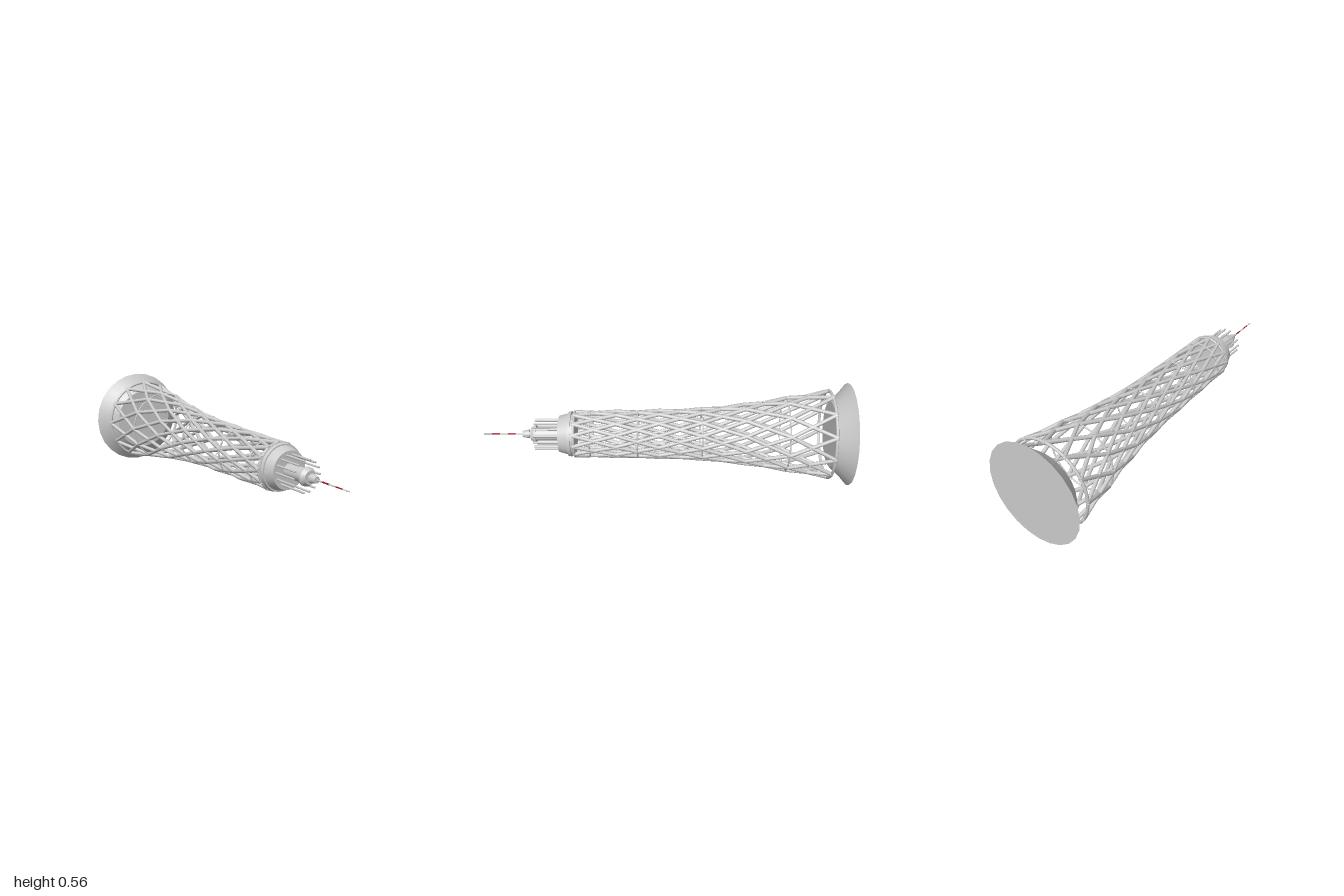
import * as THREE from 'three';
import { toCreasedNormals } from 'three/addons/utils/BufferGeometryUtils.js';

const grey = new THREE.MeshStandardMaterial({ color: 0xcccccc });
const red = new THREE.MeshStandardMaterial({ color: 0xb01020 });

// Radius of the waisted lattice along the tower axis
const waist = new THREE.CatmullRomCurve3([
  [0.24, -0.9], [0.2, -0.667], [0.163, -0.433], [0.138, -0.2],
  [0.129, 0.033], [0.124, 0.267], [0.122, 0.5],
].map(([r, y]) => new THREE.Vector3(r, y, 0)));

function radiusAt(y) {
  return waist.getPoint((y + 0.9) / 1.4).x;
}

export function createModel() {
  // The tower is built along y, then laid down so that its tip points to +z
  const tower = new THREE.Group();
  tower.name = 'latticeTower';

  function add(name, geometry, parent = tower, material = grey) {
    const mesh = new THREE.Mesh(geometry, material);
    mesh.name = name;
    parent.add(mesh);
    return mesh;
  }

  function turned(name, profile, sides) {
    const points = profile.map(([r, y]) => new THREE.Vector2(r, y));
    return add(name, toCreasedNormals(new THREE.LatheGeometry(points, sides), 0.4));
  }

  function rod(name, a, b, radius, sides, parent, material) {
    const mesh = add(name, new THREE.CylinderGeometry(radius, radius, a.distanceTo(b), sides), parent, material);
    mesh.position.copy(a).lerp(b, 0.5);
    mesh.quaternion.setFromUnitVectors(new THREE.Vector3(0, 1, 0), b.clone().sub(a).normalize());
    return mesh;
  }

  function onLattice(angle, y) {
    const r = radiusAt(y);
    return new THREE.Vector3(r * Math.sin(angle), y, r * Math.cos(angle));
  }

  // Flared base
  turned('base', [[0, -1], [0.282, -1], [0.243, -0.968], [0.182, -0.905], [0, -0.905]], 24);

  // Two opposed families of twelve twisting struts, kinked at each level
  const lattice = new THREE.Group();
  lattice.name = 'lattice';
  tower.add(lattice);
  const levels = 6, count = 12, step = Math.PI / 6;
  for (const dir of [-1, 1]) {
    for (let i = 0; i < count; i++) {
      for (let k = 0; k < levels; k++) {
        const a = onLattice(i * step + dir * k * step, -0.9 + 1.4 * k / levels);
        const b = onLattice(i * step + dir * (k + 1) * step, -0.9 + 1.4 * (k + 1) / levels);
        rod('strut', a, b, 0.0105, 8, lattice);
      }
    }
  }

  // Horizontal hoops
  for (const [y, tube] of [[-0.895, 0.008], [-0.66, 0.004], [-0.2, 0.004], [0.15, 0.004], [0.41, 0.004], [0.495, 0.007]]) {
    const hoop = add('hoop', new THREE.TorusGeometry(radiusAt(y), tube, 8, 36), lattice);
    hoop.rotation.x = Math.PI / 2;
    hoop.position.y = y;
  }

  // Crown cap with a narrow groove and bevelled shoulder
  turned('crown', [
    [0, 0.495], [0.122, 0.495], [0.122, 0.505], [0.112, 0.505], [0.112, 0.513],
    [0.125, 0.513], [0.122, 0.53], [0.115, 0.53], [0.1, 0.582], [0, 0.582],
  ], 32);

  // Ring of slim posts on the crown
  const posts = new THREE.Group();
  posts.name = 'crownPosts';
  tower.add(posts);
  for (let i = 0; i < 14; i++) {
    const t = Math.PI / 2 + i * Math.PI * 2 / 14;
    const x = 0.08 * Math.sin(t), z = 0.08 * Math.cos(t);
    rod('post', new THREE.Vector3(x, 0.575, z), new THREE.Vector3(x, 0.716, z), 0.0055, 8, posts);
  }

  // Stepped mast foot
  turned('mastFoot', [
    [0, 0.575], [0.037, 0.575], [0.037, 0.708], [0.048, 0.708], [0.048, 0.718],
    [0.035, 0.738], [0.016, 0.738], [0.016, 0.748], [0.023, 0.748], [0.023, 0.758],
    [0.017, 0.785], [0, 0.785],
  ], 20);

  // Banded antenna
  const antenna = new THREE.Group();
  antenna.name = 'antenna';
  tower.add(antenna);
  const bands = 5, start = 0.78, length = (1 - start) / bands;
  for (let i = 0; i < bands; i++) {
    const a = new THREE.Vector3(0, start + i * length, 0);
    const b = new THREE.Vector3(0, start + (i + 1) * length, 0);
    rod('antennaBand', a, b, 0.0045 - i * 0.0004, 8, antenna, i % 2 ? red : grey);
  }

  tower.rotation.x = Math.PI / 2;
  tower.position.y = 0.282;
  const model = new THREE.Group();
  model.name = 'towerModel';
  model.add(tower);
  return model;
}
